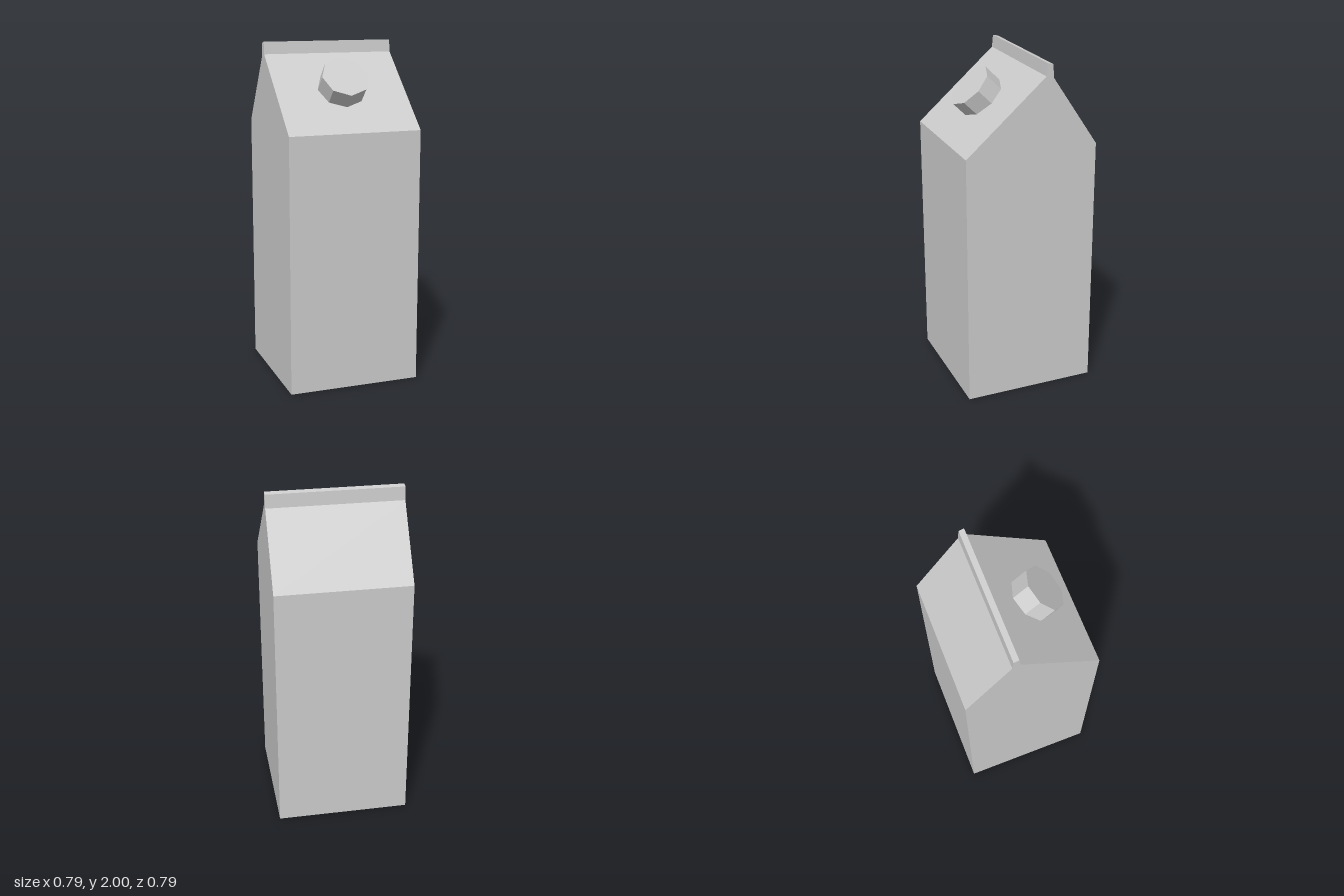
import * as THREE from 'three';

export function createModel() {
  const model = new THREE.Group();
  model.name = 'carton';
  const card = new THREE.MeshStandardMaterial({ color: 0xcccccc });
  card.name = 'light grey';
  const half = 0.395;

  const add = (name, geometry) => {
    const mesh = new THREE.Mesh(geometry, card);
    mesh.name = name;
    model.add(mesh);
    return mesh;
  };

  // Side outlines are given as [z, y] and extruded across the width
  const extrudeAcross = (points) => {
    const shape = new THREE.Shape(points.map(([z, y]) => new THREE.Vector2(z, y)));
    return new THREE.ExtrudeGeometry(shape, { depth: 2 * half, bevelEnabled: false })
      .translate(0, 0, -half)
      .rotateY(-Math.PI / 2);
  };

  // Body, gable roof and the thin sealed fin in one folded outline
  add('cartonBody', extrudeAcross([
    [-half, 0], [half, 0], [half, 1.51],
    [-0.079, 1.928], [-0.086, 2], [-0.118, 1.993], [-0.124, 1.915],
    [-half, 1.51],
  ]));

  // Octagonal screw cap, its lower end sunk into the front roof slope
  const height = 0.15;
  const cap = add('screwCap', new THREE.CylinderGeometry(0.141, 0.141, height, 8)
    .toNonIndexed().translate(0, -height / 2, 0));
  cap.geometry.computeVertexNormals();
  cap.position.set(0, 1.813, 0.22);
  cap.rotation.x = Math.PI / 4;

  return model;
}
